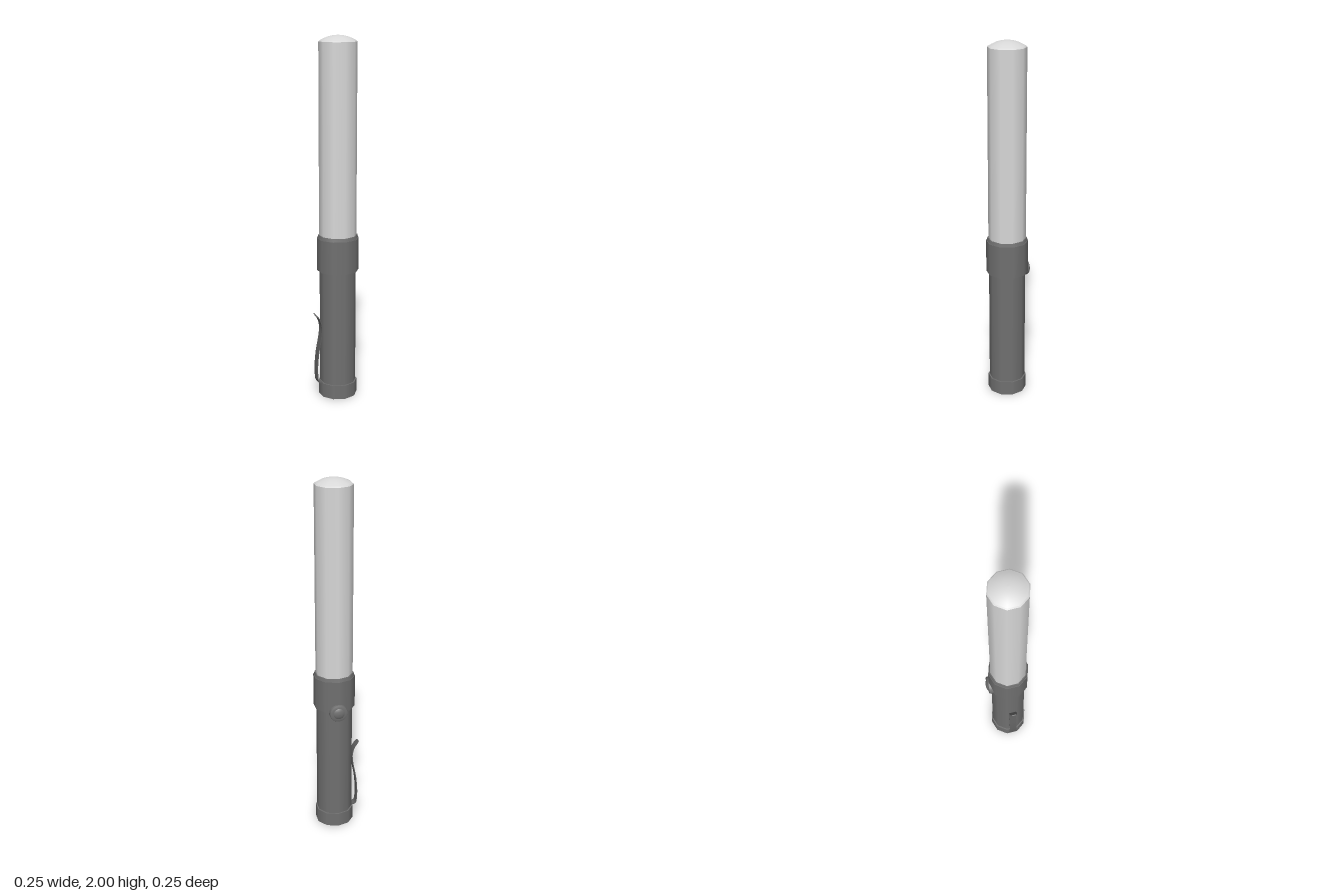
import * as THREE from 'three';

const SIDES = 10;
const CX = 0.015, CZ = 0.007; // axis of the baton

const mat = (name, color) => {
  const m = new THREE.MeshStandardMaterial({ color });
  m.name = name;
  return m;
};

export function createModel() {
  const group = new THREE.Group();
  const lightGrey = mat('light grey', 0xd8d8d8);
  const darkGrey = mat('dark grey', 0x707070);
  const clipGrey = mat('clip grey', 0x606060);

  const add = (name, geometry, material, parent = group) => {
    const mesh = new THREE.Mesh(geometry, material);
    mesh.name = name;
    parent.add(mesh);
    return mesh;
  };

  // ten-sided section of the baton between two heights
  const section = (name, y0, y1, r0, r1, material, open = false) => {
    const g = new THREE.CylinderGeometry(r1, r0, y1 - y0, SIDES, 1, open);
    g.translate(CX, (y0 + y1) / 2, CZ);
    return add(name, g, material);
  };

  section('baseCap', 0, 0.08, 0.1075, 0.1075, darkGrey);
  section('handle', 0.07, 0.75, 0.1, 0.1, darkGrey);
  section('collar', 0.73, 0.913, 0.115, 0.115, darkGrey);
  section('collarRim', 0.913, 0.93, 0.112, 0.108, darkGrey);
  section('lightTube', 0.92, 1.967, 0.1025, 0.1025, lightGrey, true);
  section('tubeRim', 1.967, 1.973, 0.1025, 0.096, lightGrey, true);

  // shallow dome closing the tube
  const domeProfile = [];
  for (let i = 0; i <= 6; i++) {
    const r = 0.096 * (1 - i / 6);
    domeProfile.push(new THREE.Vector2(r, 1.973 + 0.027 * (1 - (r / 0.096) ** 2)));
  }
  const dome = new THREE.LatheGeometry(domeProfile, SIDES);
  dome.translate(CX, 0, CZ);
  add('tubeDome', dome, lightGrey);

  // round push button on the back, at the lower edge of the collar
  const button = new THREE.Group();
  button.name = 'button';
  button.position.set(CX, 0.73, -0.085);
  button.rotation.x = -Math.PI / 2;
  group.add(button);
  const lathe = (pts) => new THREE.LatheGeometry(pts.map(([r, y]) => new THREE.Vector2(r, y)), 20);
  add('buttonRing', lathe([[0.05, 0], [0.05, 0.024], [0.047, 0.03], [0.03, 0.031]]), darkGrey, button);
  add('buttonDome', lathe([[0.032, 0.03], [0.026, 0.035], [0.014, 0.039], [0, 0.04]]), darkGrey, button);

  // springy pocket clip: a thin bar bent along a curve
  const curve = new THREE.CatmullRomCurve3([
    [-0.085, 0.08], [-0.105, 0.083], [-0.115, 0.14], [-0.109, 0.25],
    [-0.09, 0.36], [-0.087, 0.41], [-0.1, 0.455], [-0.124, 0.488],
  ].map(([x, y]) => new THREE.Vector3(x, y, 0)));
  const clip = new THREE.BoxGeometry(0.005, 1, 0.043, 1, 40, 1);
  const pos = clip.attributes.position;
  for (let i = 0; i < pos.count; i++) {
    const t = THREE.MathUtils.clamp(pos.getY(i) + 0.5, 0, 1);
    const p = curve.getPointAt(t), d = curve.getTangentAt(t);
    const off = pos.getX(i);
    const width = t > 0.95 ? 1 - 0.4 * ((t - 0.95) / 0.05) ** 2 : 1; // rounded tip
    pos.setXYZ(i, p.x + d.y * off, p.y - d.x * off, CZ + pos.getZ(i) * width);
  }
  clip.computeVertexNormals();
  add('pocketClip', clip, clipGrey);

  return group;
}
